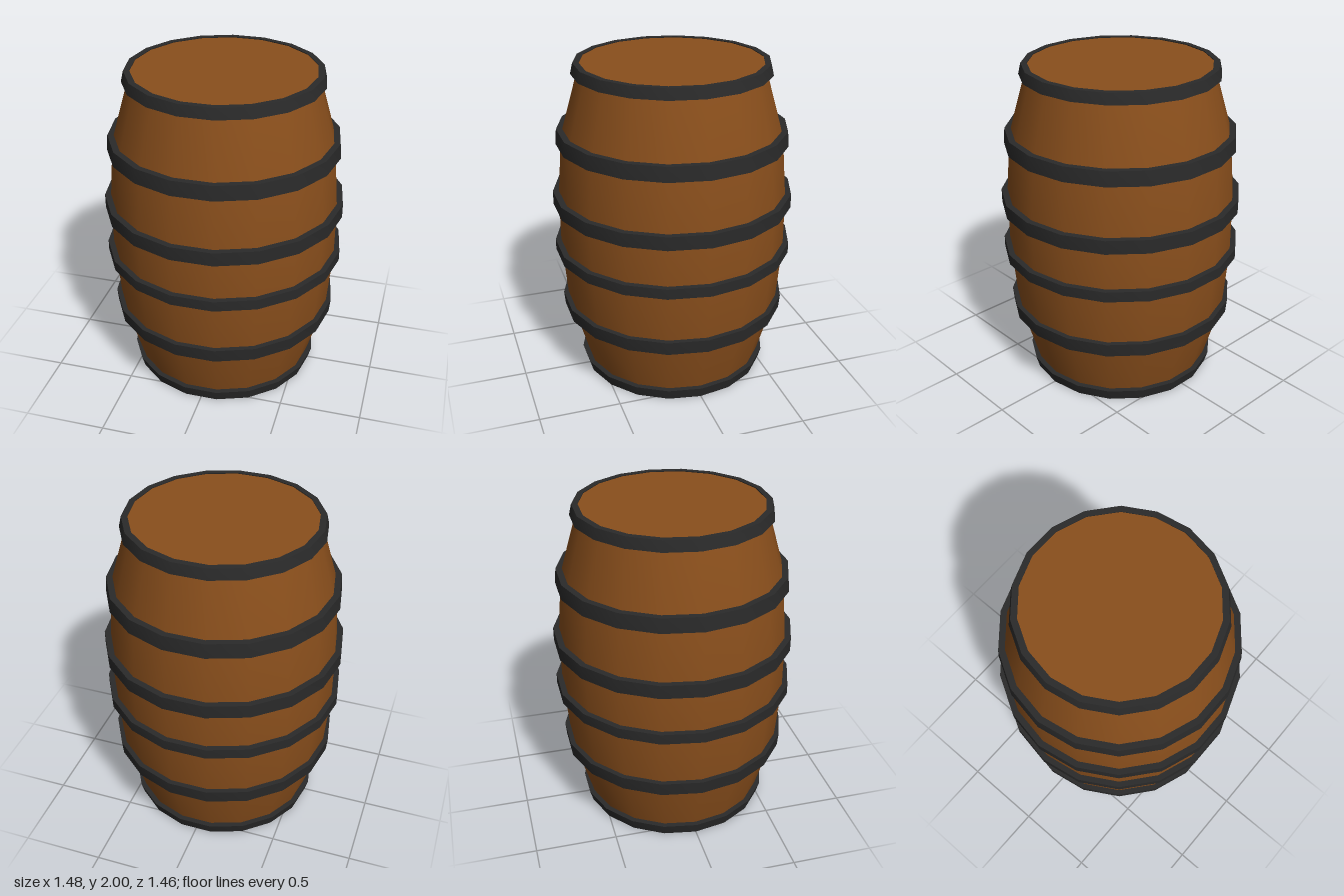
import * as THREE from 'three';
import { toCreasedNormals } from 'three/addons/utils/BufferGeometryUtils.js';

const SIDES = 18;

// Lathe with a corner on the x axis and sharp profile edges
function turned(points) {
  const profile = points.map(([r, y]) => new THREE.Vector2(r, y));
  return toCreasedNormals(new THREE.LatheGeometry(profile, SIDES, Math.PI / 2), 0.5);
}

export function createModel() {
  const barrel = new THREE.Group();
  barrel.name = 'barrel';
  const wood = new THREE.MeshStandardMaterial({ color: 0x8a4f1c });
  const iron = new THREE.MeshStandardMaterial({ color: 0x2a2a2a });

  function add(name, geometry, material) {
    const mesh = new THREE.Mesh(geometry, material);
    mesh.name = name;
    barrel.add(mesh);
    return mesh;
  }

  // Bulging staves
  add('staves', turned([
    [0.55, 0.005], [0.567, 0.07], [0.665, 0.41], [0.677, 0.49], [0.705, 0.83],
    [0.705, 1.17], [0.677, 1.51], [0.665, 1.59], [0.567, 1.93], [0.55, 1.995],
  ]), wood);

  // Flat heads closing both ends
  for (const [name, y, turn] of [['topHead', 1.995, -1], ['bottomHead', 0.005, 1]]) {
    const head = add(name, new THREE.CircleGeometry(0.553, SIDES), wood);
    head.rotation.x = turn * Math.PI / 2;
    head.position.y = y;
  }

  // Hoops: bottom height, top height, outer radius at each, inner radius at each
  const hoops = [
    ['bottomRim', 0, 0.07, 0.58, 0.6, 0.548, 0.562],
    ['lowerHoop', 0.405, 0.49, 0.7, 0.708, 0.655, 0.67],
    ['lowerBellyHoop', 0.805, 0.87, 0.74, 0.74, 0.695, 0.695],
    ['upperBellyHoop', 1.115, 1.2, 0.74, 0.74, 0.695, 0.695],
    ['upperHoop', 1.51, 1.6, 0.708, 0.7, 0.67, 0.655],
    ['topRim', 1.935, 2, 0.6, 0.585, 0.562, 0.548],
  ];
  for (const [name, y0, y1, out0, out1, in0, in1] of hoops) {
    add(name, turned([[in0, y0], [out0, y0], [out1, y1], [in1, y1], [in0, y0]]), iron);
  }
  return barrel;
}
